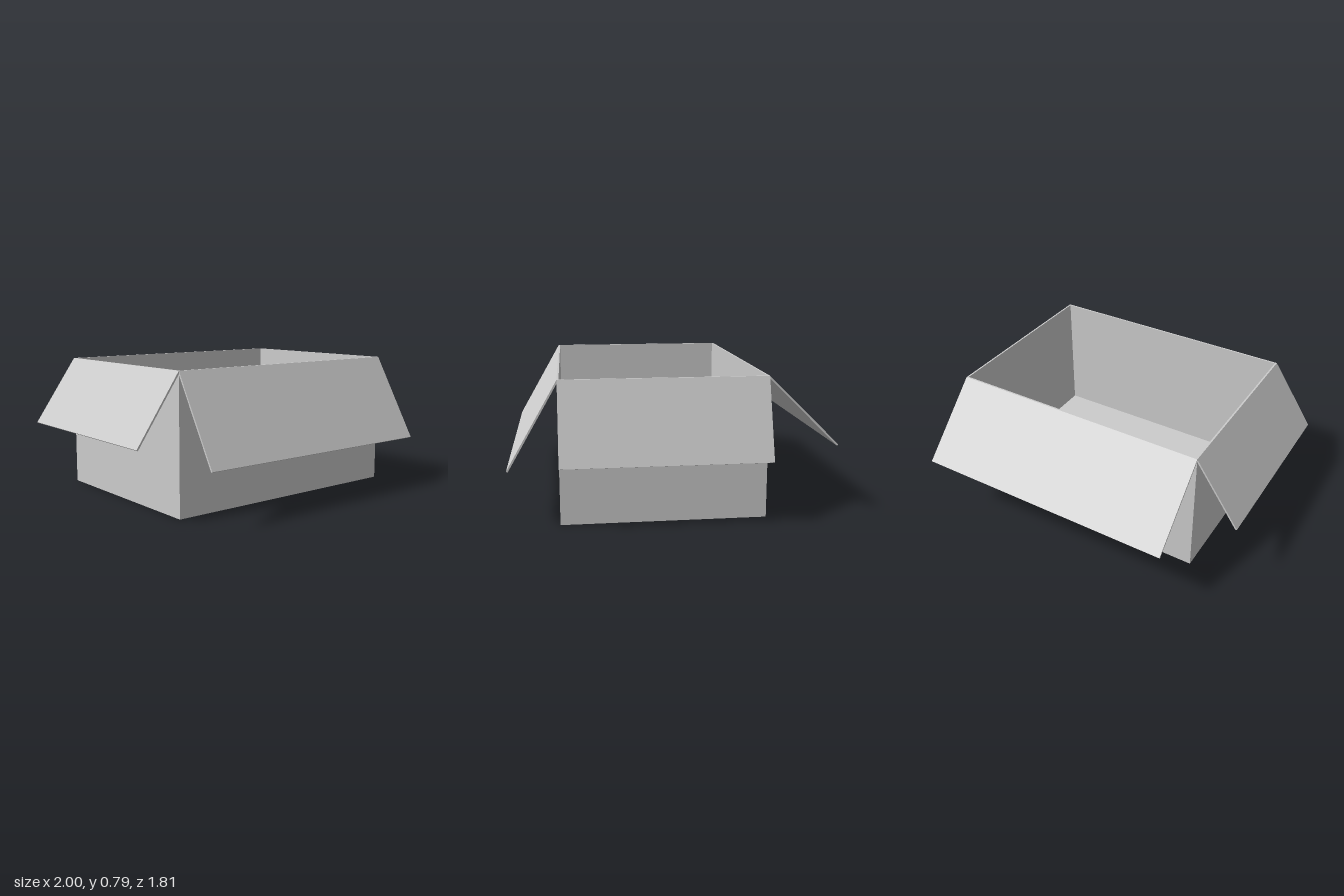
import * as THREE from 'three';

export function createModel() {
  const model = new THREE.Group();
  model.name = 'openCarton';
  const card = new THREE.MeshStandardMaterial({ color: 0xcccccc });
  card.name = 'cardboard grey';

  // Carton extents and sheet thickness
  const x0 = -0.735, x1 = 0.85, z0 = -0.507, z1 = 0.627, top = 0.793, t = 0.01;
  const w = x1 - x0, d = z1 - z0, cx = (x0 + x1) / 2, cz = (z0 + z1) / 2;

  function panel(name, sx, sy, sz, x, y, z) {
    const mesh = new THREE.Mesh(new THREE.BoxGeometry(sx, sy, sz), card);
    mesh.name = name;
    mesh.position.set(x, y, z);
    model.add(mesh);
  }

  // Floor and four walls
  panel('floor', w, t, d, cx, t / 2, cz);
  panel('frontWall', w, top - t, t, cx, (top + t) / 2, z1 - t / 2);
  panel('backWall', w, top - t, t, cx, (top + t) / 2, z0 + t / 2);
  panel('leftWall', t, top - t, d - 2 * t, x1 - t / 2, (top + t) / 2, cz);
  panel('rightWall', t, top - t, d - 2 * t, x0 + t / 2, (top + t) / 2, cz);

  // Flap hinged on a wall's top edge: out = horizontal reach, drop = fall
  function flap(name, width, out, drop, x, z, turn) {
    const length = Math.hypot(out, drop);
    const geometry = new THREE.BoxGeometry(width, t, length);
    geometry.translate(0, -t / 2, length / 2);
    geometry.rotateX(Math.atan2(drop, out));
    const mesh = new THREE.Mesh(geometry, card);
    mesh.name = name;
    mesh.position.set(x, top, z);
    mesh.rotation.y = turn;
    model.add(mesh);
  }

  flap('frontFlap', w, 0.278, 0.485, cx, z1, 0);
  flap('backFlap', w, 0.398, 0.39, cx, z0, Math.PI);
  flap('leftFlap', d, 0.149, 0.44, x1, cz, Math.PI / 2);
  flap('rightFlap', d, 0.265, 0.385, x0, cz, -Math.PI / 2);

  return model;
}
